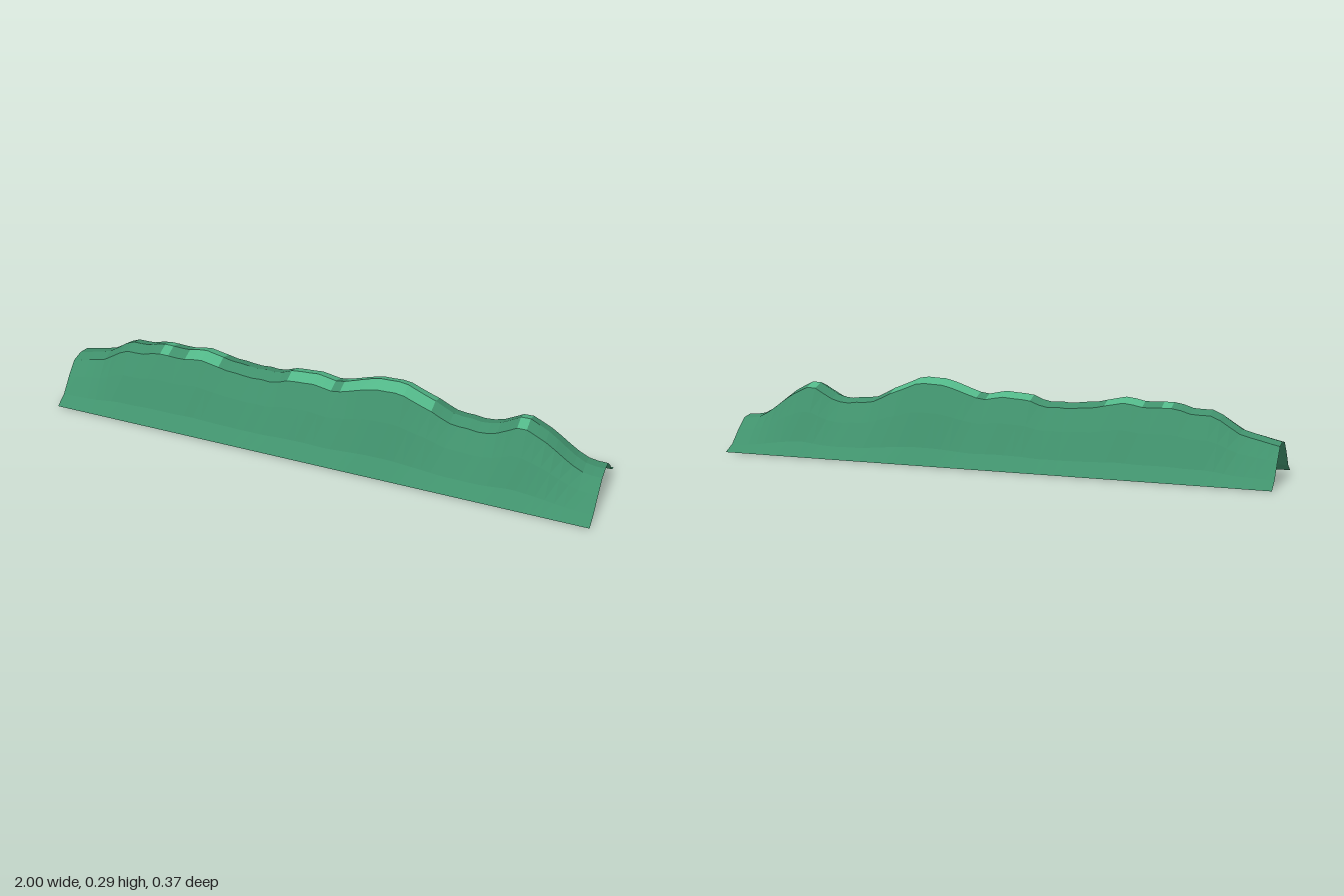
import * as THREE from 'three';

// Crest height at evenly spaced stations from x = -1 to x = 1
const CREST = [
  .13, .138, .147, .155, .165, .187, .21, .225, .225, .227,
  .238, .244, .2435, .2415, .2425, .25, .254, .247, .24, .232,
  .23, .226, .223, .226, .223, .23, .244, .248, .25, .253,
  .247, .24, .245, .256, .268, .279, .287, .288, .29, .285,
  .27, .256, .243, .225, .209, .204, .203, .198, .201, .211,
  .23, .25, .251, .234, .216, .192, .166, .142, .124, .118, .117,
];
// Cross-section: share of the crest height across the width
const PROFILE = [0, .195, .6, .935, 1, .935, .6, .195, 0];
const HALF_WIDTH = 0.187;
const BRIGHT_HEIGHT = 0.243;

function point(i, j) {
  return [
    -1 + (2 * i) / (CREST.length - 1),
    CREST[i] * PROFILE[j],
    HALF_WIDTH * (-1 + (2 * j) / (PROFILE.length - 1)),
  ];
}

function surface(name, positions, material) {
  const geometry = new THREE.BufferGeometry();
  geometry.setAttribute('position', new THREE.Float32BufferAttribute(positions, 3));
  geometry.computeVertexNormals();
  const mesh = new THREE.Mesh(geometry, material);
  mesh.name = name;
  return mesh;
}

export function createModel() {
  const options = { flatShading: true, side: THREE.DoubleSide };
  const green = new THREE.MeshStandardMaterial({ name: 'hill green', color: 0x40916c, ...options });
  const light = new THREE.MeshStandardMaterial({ name: 'light crest green', color: 0x52b788, ...options });

  // Open ridge shell; the highest crest faces take the lighter green
  const slopes = [], tops = [];
  for (let i = 0; i < CREST.length - 1; i++) {
    const high = (CREST[i] + CREST[i + 1]) / 2 > BRIGHT_HEIGHT;
    for (let j = 0; j < PROFILE.length - 1; j++) {
      const a = point(i, j), b = point(i, j + 1), c = point(i + 1, j + 1), d = point(i + 1, j);
      const onCrest = j === 3 || j === 4;
      (high && onCrest ? tops : slopes).push(...a, ...b, ...d, ...b, ...c, ...d);
    }
  }

  const group = new THREE.Group();
  group.name = 'mountainRidge';
  group.add(surface('ridgeSlopes', slopes, green), surface('crestTops', tops, light));
  return group;
}
